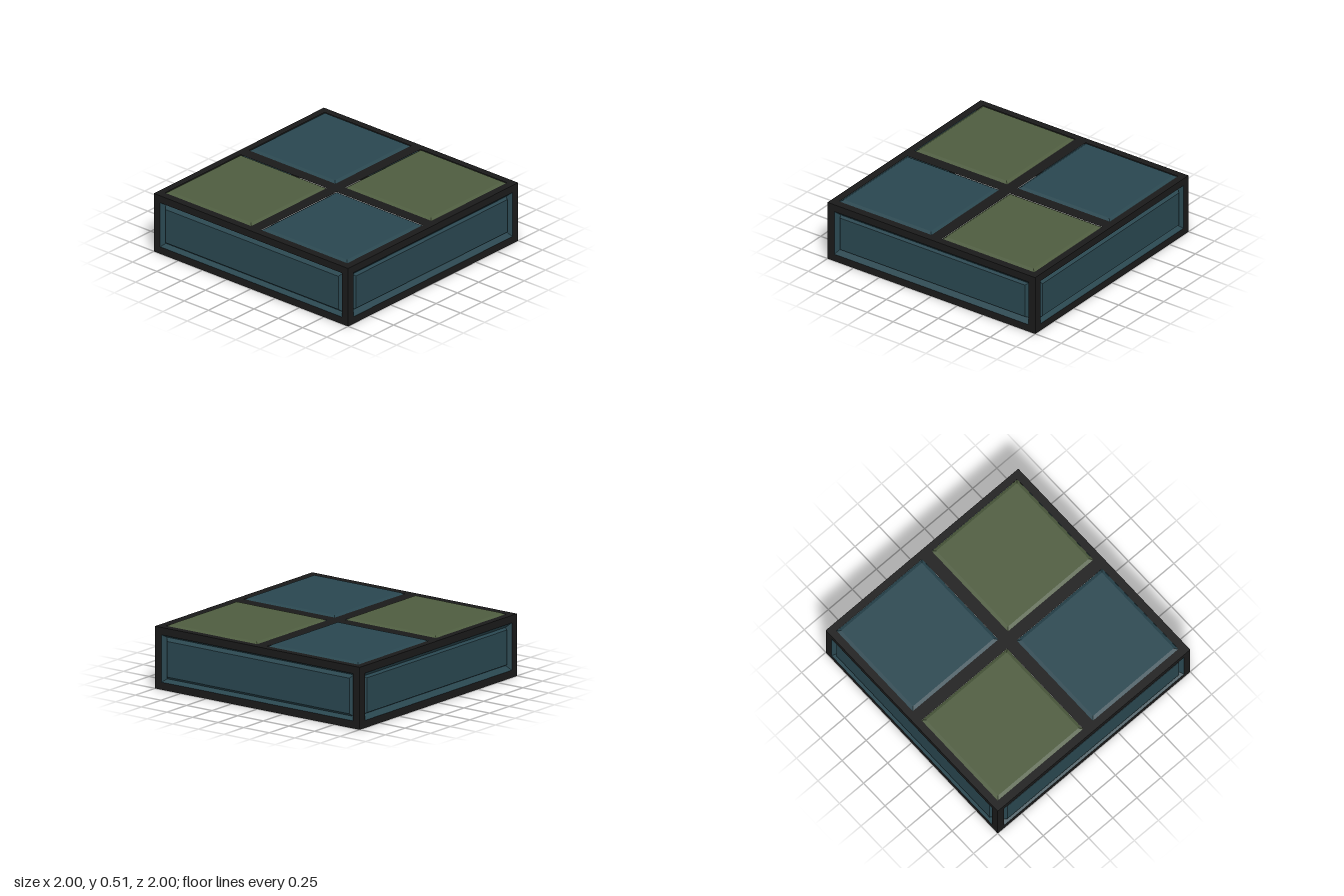
import * as THREE from 'three';

const material = (name, color) => {
  const m = new THREE.MeshStandardMaterial({ color, side: THREE.DoubleSide });
  m.name = name;
  return m;
};

// Flat sheet in the XY plane with rectangular openings [x, y, halfWidth, halfHeight]
function sheet(halfW, halfH, holes) {
  const rect = (target, x, y, w, h) => target
    .moveTo(x - w, y - h).lineTo(x + w, y - h).lineTo(x + w, y + h).lineTo(x - w, y + h).closePath();
  const shape = rect(new THREE.Shape(), 0, 0, halfW, halfH);
  for (const h of holes) shape.holes.push(rect(new THREE.Path(), ...h));
  return new THREE.ShapeGeometry(shape);
}

// Bevelled panel facing +z: nested rectangles [halfWidth, halfHeight, z], the last one filled
function panel(rings) {
  const p = [];
  const corners = ([w, h, z]) => [[-w, -h, z], [w, -h, z], [w, h, z], [-w, h, z]];
  const quad = (a, b, c, d) => p.push(...a, ...b, ...c, ...a, ...c, ...d);
  for (let r = 0; r < rings.length - 1; r++) {
    const a = corners(rings[r]), b = corners(rings[r + 1]);
    for (let i = 0; i < 4; i++) {
      const j = (i + 1) % 4;
      quad(a[i], a[j], b[j], b[i]);
    }
  }
  quad(...corners(rings[rings.length - 1]));
  const g = new THREE.BufferGeometry();
  g.setAttribute('position', new THREE.Float32BufferAttribute(p, 3));
  g.computeVertexNormals();
  return g;
}

export function createModel() {
  const model = new THREE.Group();
  model.name = 'panelledBlock';
  const frameMat = material('charcoal frame', 0x1a1a1a);
  const blueMat = material('slate blue', 0x29464f);
  const greenMat = material('olive green', 0x4e5c3f);
  const add = (parent, name, geometry, mat) => {
    const mesh = new THREE.Mesh(geometry, mat);
    mesh.name = name;
    parent.add(mesh);
    return mesh;
  };

  // Four walls: a thin frame around a panel that rises from a groove;
  // the side walls have a wider groove than the front and back
  const wallFrame = sheet(1, 0.25, [[0, 0, 0.935, 0.19]]);
  const frontPanel = panel([[0.935, 0.19, 0], [0.912, 0.167, -0.04], [0.89, 0.143, -0.01]]);
  const sidePanel = panel([[0.935, 0.19, 0], [0.905, 0.153, -0.04], [0.89, 0.14, -0.015]]);
  ['front', 'left', 'back', 'right'].forEach((side, i) => {
    const wall = new THREE.Group();
    wall.name = side + 'Wall';
    const angle = i * Math.PI / 2;
    wall.position.set(Math.sin(angle), 0.25, Math.cos(angle));
    wall.rotation.y = angle;
    add(wall, side + 'Frame', wallFrame, frameMat);
    add(wall, side + 'Panel', i % 2 ? sidePanel : frontPanel, blueMat);
    model.add(wall);
  });

  // Top: a cross-shaped frame with four raised tiles; the underside stays open
  const top = new THREE.Group();
  top.name = 'top';
  top.position.y = 0.5;
  top.rotation.x = -Math.PI / 2;
  model.add(top);
  const half = 0.444;
  const holes = [];
  // Each tile has a flat underside, sloped edges and a flat top
  const tile = panel([[0.001, 0.001, -0.004], [half, half, -0.004], [half - 0.026, half - 0.026, 0.012]]);
  for (const x of [-0.497, 0.491]) {
    for (const y of [-0.491, 0.497]) {
      holes.push([x, y, half, half]);
      const green = x * y > 0;
      const mesh = add(top, green ? 'greenTile' : 'blueTile', tile, green ? greenMat : blueMat);
      mesh.position.set(x, y, 0);
    }
  }
  add(top, 'topFrame', sheet(1, 1, holes), frameMat);

  return model;
}
